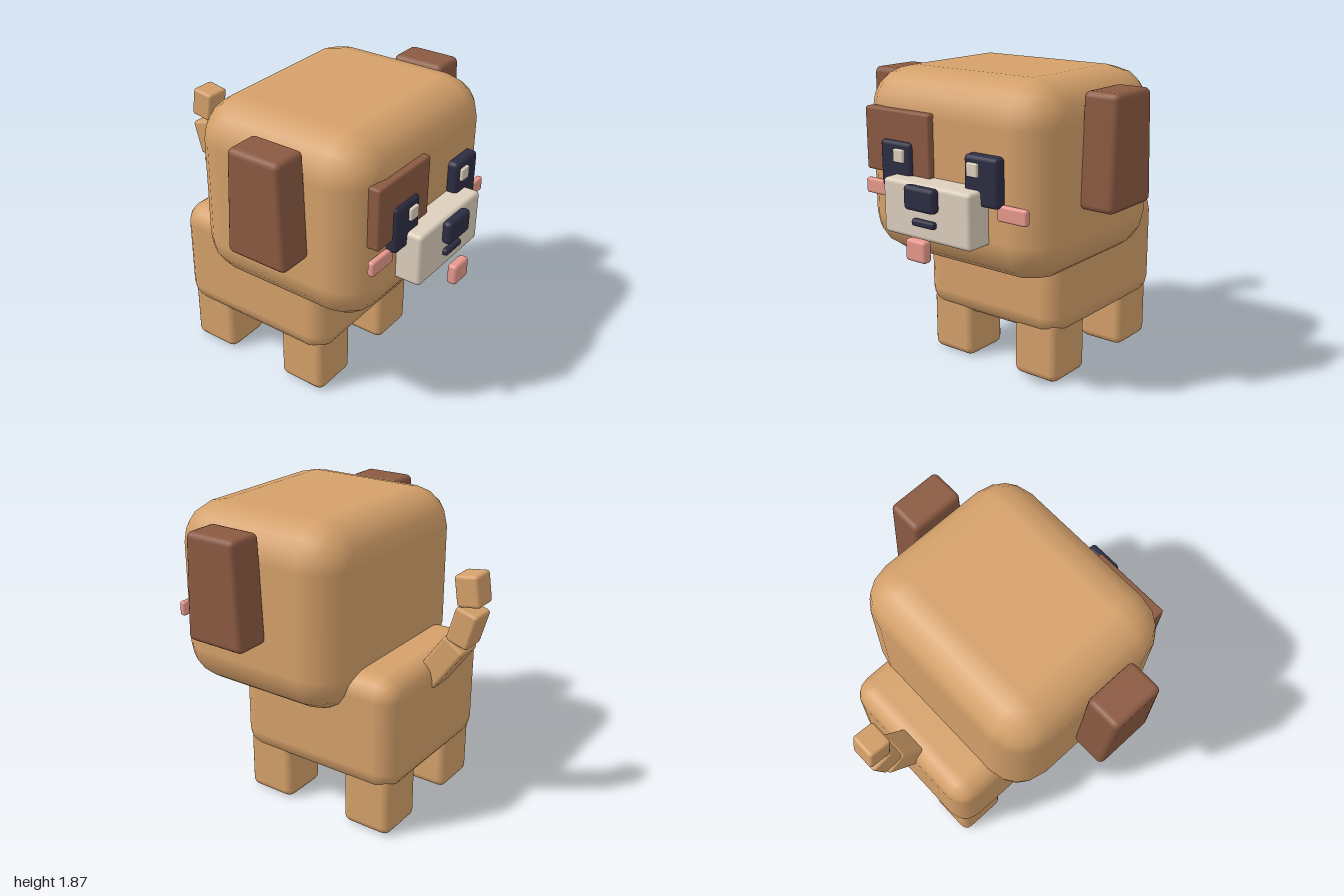
import * as THREE from 'three';
import { RoundedBoxGeometry } from 'three/addons/geometries/RoundedBoxGeometry.js';

const paint = (name, color) => {
  const m = new THREE.MeshStandardMaterial({ color });
  m.name = name;
  return m;
};

export function createModel() {
  const tan = paint('tan fur', 0xd4a06a);
  const brown = paint('brown fur', 0x8b5a42);
  const navy = paint('dark navy', 0x2d2d44);
  const cream = paint('cream', 0xdccfbd);
  const pink = paint('pink', 0xe8998d);

  const model = new THREE.Group();
  model.name = 'puppy';

  // Rounded block from its extents [min, max] on each axis
  function block(name, mat, [x0, x1], [y0, y1], [z0, z1], radius, segments = 2) {
    const geo = new RoundedBoxGeometry(x1 - x0, y1 - y0, z1 - z0, segments, radius);
    const mesh = new THREE.Mesh(geo, mat);
    mesh.name = name;
    mesh.position.set((x0 + x1) / 2, (y0 + y1) / 2, (z0 + z1) / 2);
    model.add(mesh);
    return mesh;
  }

  // Head and body
  block('head', tan, [-0.695, 0.695], [0.735, 1.87], [-0.45, 0.75], 0.25);
  block('body', tan, [-0.52, 0.52], [0.30, 1.015], [-0.73, 0.38], 0.13);

  // Paired parts
  for (const [side, s] of [['left', 1], ['right', -1]]) {
    const span = (a, b) => (s > 0 ? [a, b] : [-b, -a]);

    block(side + 'FrontLeg', tan, span(0.168, 0.488), [0.005, 0.41], [0.025, 0.348], 0.05);
    block(side + 'BackLeg', tan, span(0.168, 0.488), [0.005, 0.41], [-0.695, -0.37], 0.05);

    // Ear, wider from front to back at the bottom
    const ear = block(side + 'Ear', brown, span(0.683, 0.908), [1.155, 1.808], [0.03, 0.403], 0.035);
    const p = ear.geometry.attributes.position;
    for (let i = 0; i < p.count; i++) p.setZ(i, p.getZ(i) * (1 - 0.26 * p.getY(i)));

    block(side + 'Eye', navy, span(0.2, 0.435), [1.193, 1.475], [0.70, 0.813], 0.025);
    block(side + 'Cheek', pink, span(0.402, 0.602), [1.122, 1.214], [0.738, 0.779], 0.015);
  }

  // Eye highlights
  block('leftEyeHighlight', cream, [0.232, 0.31], [1.357, 1.435], [0.79, 0.832], 0.008);
  block('rightEyeHighlight', cream, [-0.318, -0.24], [1.357, 1.435], [0.79, 0.832], 0.008);

  // Face
  block('eyePatch', brown, [-0.574, -0.073], [1.275, 1.65], [0.71, 0.789], 0.015);
  block('muzzle', cream, [-0.327, 0.323], [0.96, 1.285], [0.65, 0.908], 0.025);
  block('nose', navy, [-0.114, 0.111], [1.142, 1.285], [0.905, 0.968], 0.025);
  block('mouth', navy, [-0.085, 0.083], [1.046, 1.088], [0.895, 0.938], 0.015);
  block('tongue', pink, [-0.075, 0.073], [0.863, 0.992], [0.938, 1.0], 0.02);

  // Tail: three links curling up. [width, length, y, z, lean]
  const links = [
    [0.185, 0.33, 1.015, -0.762, -0.61],
    [0.17, 0.225, 1.257, -0.893, -0.28],
    [0.16, 0.188, 1.482, -0.914, 0.15],
  ];
  links.forEach(([w, len, y, z, lean], i) => {
    const d = i === 0 ? 0.155 : 0.148;
    const link = block('tailLink' + (i + 1), tan, [-w / 2, w / 2], [y - len / 2, y + len / 2], [z - d / 2, z + d / 2], 0.02);
    link.position.x = -0.005;
    link.rotation.x = lean;
  });

  return model;
}
